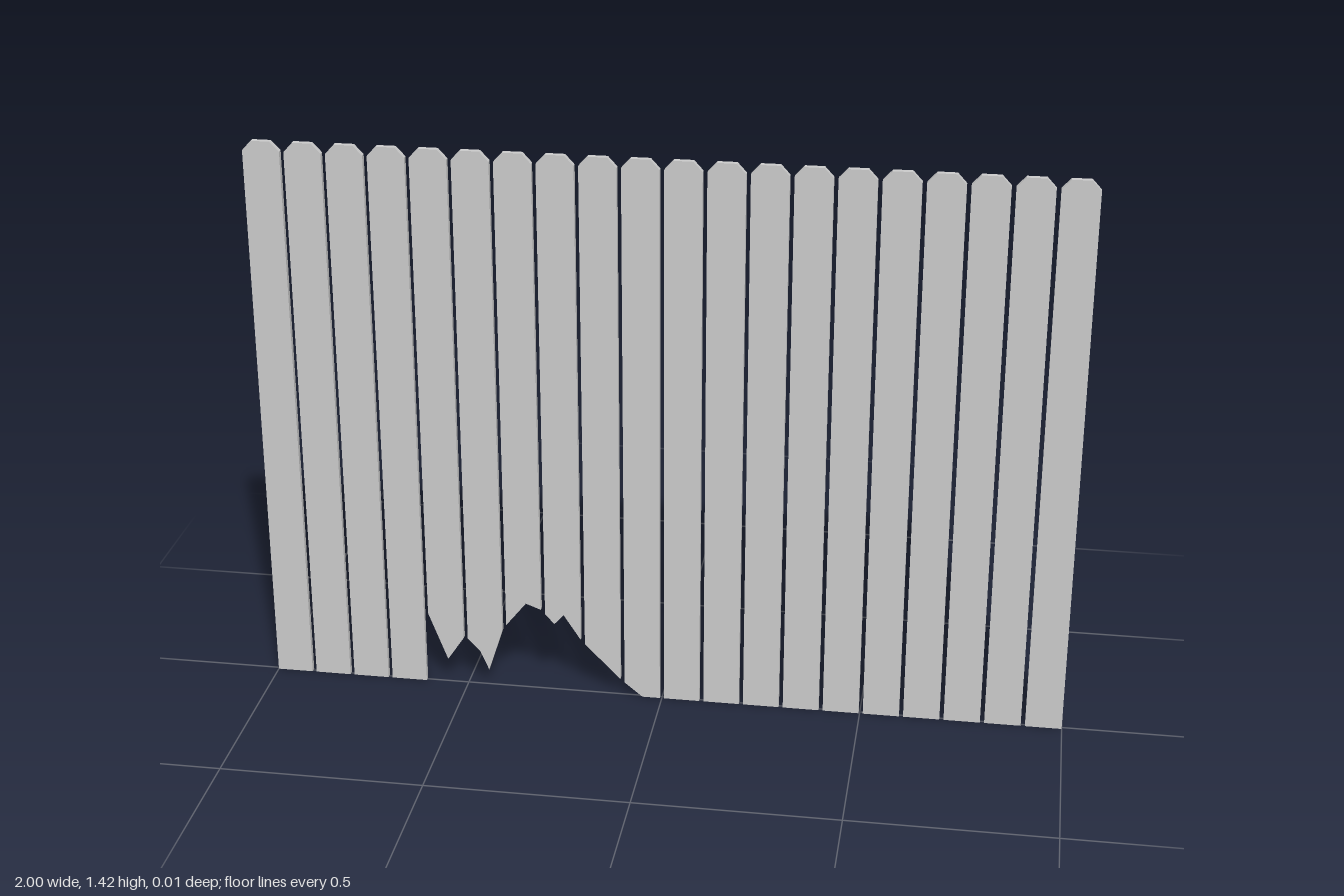
import * as THREE from 'three';

const COUNT = 20, WIDTH = 0.09, HEIGHT = 1.42, DEPTH = 0.014;
const PITCH = (2 - WIDTH) / (COUNT - 1);
const CHAMFER_X = 0.022, CHAMFER_Y = 0.024;

// Broken lower edge, as [x, y] from left to right, for the planks it crosses
const BREAK = [
  [-0.6, 0.2], [-0.55, 0.067], [-0.505, 0.135], [-0.497, 0.13], [-0.465, 0.095],
  [-0.444, 0.045], [-0.407, 0.16], [-0.396, 0.178], [-0.345, 0.242], [-0.307, 0.228],
  [-0.273, 0.19], [-0.249, 0.217], [-0.206, 0.15], [-0.106, 0.046], [-0.05, 0],
];

// Height of the lower edge at x
function bottomAt(x) {
  for (let i = 1; i < BREAK.length; i++) {
    const [ax, ay] = BREAK[i - 1], [bx, by] = BREAK[i];
    if (x >= ax && x <= bx) return ay + (by - ay) * (x - ax) / (bx - ax);
  }
  return 0;
}

// Plank outline: lower edge (flat or splintered), sides and clipped top corners
function plankShape(x0, x1) {
  const points = [[x0, bottomAt(x0)]];
  points.push(...BREAK.filter(([x]) => x > x0 + 0.001 && x < x1 - 0.001));
  points.push(
    [x1, bottomAt(x1)],
    [x1, HEIGHT - CHAMFER_Y], [x1 - CHAMFER_X, HEIGHT],
    [x0 + CHAMFER_X, HEIGHT], [x0, HEIGHT - CHAMFER_Y],
  );
  return new THREE.Shape(points.map(([x, y]) => new THREE.Vector2(x, y)));
}

export function createModel() {
  const fence = new THREE.Group();
  fence.name = 'fence';
  const material = new THREE.MeshStandardMaterial({ color: 0xcccccc, flatShading: true });

  // Row of upright planks with narrow gaps
  for (let i = 0; i < COUNT; i++) {
    const x0 = -1 + i * PITCH;
    const geometry = new THREE.ExtrudeGeometry(plankShape(x0, x0 + WIDTH), {
      depth: DEPTH, bevelEnabled: false,
    });
    geometry.translate(0, 0, -DEPTH / 2);
    const plank = new THREE.Mesh(geometry, material);
    const broken = x0 > -0.61 && x0 < -0.05;
    plank.name = `${broken ? 'brokenPlank' : 'plank'}${i + 1}`;
    fence.add(plank);
  }
  return fence;
}
